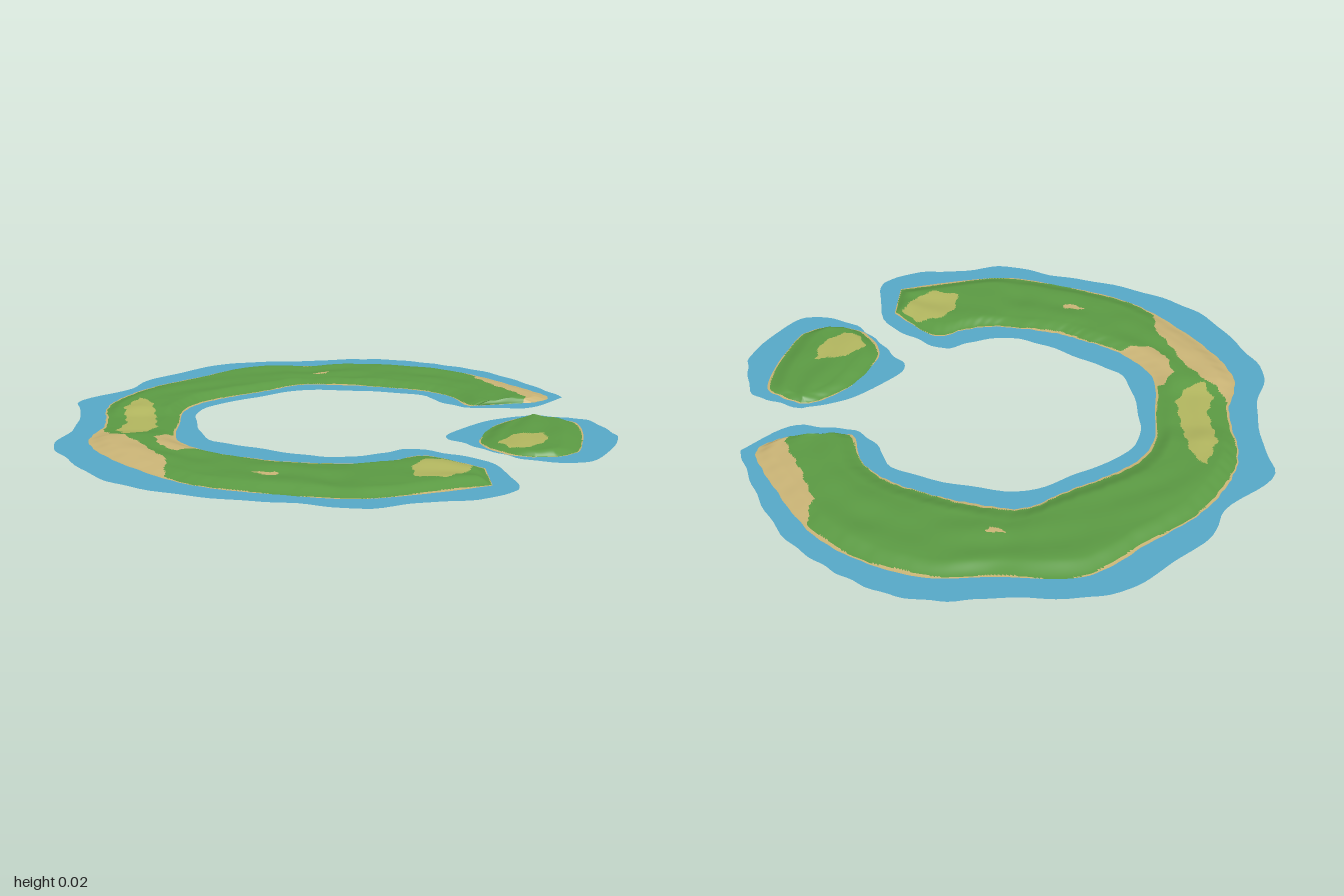
import * as THREE from 'three';

const material = (name, color) => new THREE.MeshStandardMaterial({ name, color, side: THREE.DoubleSide });
const grass = material('grass green', 0x5b9a43);
const sand = material('beach sand', 0xcab476);
const meadow = material('dry meadow', 0xb2b65f);
const shallows = material('shallow water', 0x56a8c7);

const vec = (p) => new THREE.Vector2(p[0], p[1]);
const smooth = THREE.MathUtils.smoothstep;

// Matching stations [x, z] on the two coasts of the ring island, running north, west, south
const ringOuter = [
  [0.79, -0.2], [0.86, -0.28], [0.77, -0.46], [0.61, -0.69], [0.43, -0.82], [0.22, -0.89], [0, -0.88],
  [-0.29, -0.87], [-0.5, -0.71], [-0.68, -0.56], [-0.79, -0.4], [-0.84, -0.24], [-0.83, 0], [-0.87, 0.2],
  [-0.79, 0.4], [-0.6, 0.64], [-0.44, 0.76], [-0.23, 0.84], [0, 0.9], [0.24, 0.86], [0.44, 0.8]];
const ringInner = [
  [0.56, -0.17], [0.52, -0.185], [0.48, -0.32], [0.375, -0.42], [0.22, -0.49], [0.08, -0.53], [-0.085, -0.55],
  [-0.23, -0.46], [-0.38, -0.37], [-0.49, -0.28], [-0.55, -0.16], [-0.56, 0], [-0.57, 0.13], [-0.55, 0.24],
  [-0.44, 0.37], [-0.29, 0.455], [-0.18, 0.5], [0.03, 0.535], [0.16, 0.51], [0.28, 0.465], [0.45, 0.62]];
const ringWater = [
  [0.915, -0.27], [0.87, -0.4], [0.79, -0.555], [0.69, -0.725], [0.56, -0.83], [0.455, -0.91], [0.31, -0.97],
  [0.15, -0.995], [-0.02, -0.97], [-0.26, -0.97], [-0.44, -0.915], [-0.58, -0.79], [-0.71, -0.67],
  [-0.77, -0.53], [-0.95, -0.36], [-0.93, -0.185], [-0.94, 0.05], [-0.985, 0.24], [-0.92, 0.42],
  [-0.79, 0.635], [-0.63, 0.77], [-0.39, 0.87], [-0.18, 0.93], [0.02, 0.99], [0.19, 0.95], [0.375, 0.93],
  [0.49, 0.87], [0.525, 0.79], [0.475, 0.555], [0.35, 0.44], [0.23, 0.38], [0.14, 0.42], [0, 0.46],
  [-0.15, 0.41], [-0.34, 0.3], [-0.455, 0.2], [-0.5, 0], [-0.485, -0.185], [-0.39, -0.29], [-0.26, -0.37],
  [-0.09, -0.46], [0.16, -0.43], [0.375, -0.34], [0.43, -0.24], [0.51, -0.15], [0.62, -0.135], [0.76, -0.125]];

// The small island, north to south
const isletWest = [[0.71, 0.01], [0.655, 0.04], [0.59, 0.1], [0.52, 0.21], [0.485, 0.355], [0.55, 0.47], [0.63, 0.51]];
const isletEast = [[0.75, 0.01], [0.825, 0.05], [0.88, 0.1], [0.87, 0.24], [0.825, 0.4], [0.79, 0.47], [0.72, 0.51]];
const isletWater = [
  [0.735, -0.02], [0.84, 0.015], [0.93, 0.07], [0.975, 0.21], [0.97, 0.33], [0.88, 0.5], [0.78, 0.585],
  [0.61, 0.535], [0.52, 0.45], [0.445, 0.345], [0.375, 0.25], [0.465, 0.13], [0.59, 0.03]];

// Ground cover patches
const sandPatches = [
  [[0.61, -0.72], [0.8, -0.46], [0.92, -0.26], [0.74, -0.15], [0.76, -0.24], [0.68, -0.4], [0.62, -0.54], [0.63, -0.6]],
  [[-0.83, 0.06], [-0.8, 0.14], [-0.74, 0.2], [-0.68, 0.3], [-0.63, 0.42], [-0.59, 0.5], [-0.595, 0.7], [-0.75, 0.66], [-0.95, 0.25]],
  [[-0.6, 0.16], [-0.5, 0.13], [-0.48, 0.25], [-0.42, 0.38], [-0.56, 0.39], [-0.62, 0.33], [-0.64, 0.22]],
  [[-0.03, -0.69], [0.04, -0.685], [0.02, -0.66], [-0.01, -0.67]],
  [[-0.31, 0.65], [-0.23, 0.65], [-0.23, 0.68], [-0.28, 0.68]]];
const meadowPatches = [
  [[-0.72, -0.33], [-0.67, -0.25], [-0.65, -0.1], [-0.64, 0.05], [-0.68, 0.13], [-0.75, 0.17], [-0.78, 0.08], [-0.75, 0], [-0.77, -0.18]],
  [[0.2, 0.74], [0.21, 0.62], [0.27, 0.56], [0.36, 0.55], [0.42, 0.63], [0.36, 0.72], [0.3, 0.76]],
  [[0.54, 0.37], [0.61, 0.29], [0.72, 0.27], [0.72, 0.36], [0.64, 0.45], [0.57, 0.44]]];

function inside(poly, x, z) {
  let hit = false;
  for (let i = 0, j = poly.length - 1; i < poly.length; j = i++) {
    const [ax, az] = poly[i], [bx, bz] = poly[j];
    if ((az > z) !== (bz > z) && x < ((bx - ax) * (z - az)) / (bz - az) + ax) hit = !hit;
  }
  return hit;
}

// Rolling plateau with low ridges; d is the distance from the coast
function height(x, z, d, along, v) {
  const plateau = 0.018 * smooth(d, 0, 0.075);
  const lowWest = x < 0 ? 1 - 0.7 * (1 - smooth(Math.abs(z), 0.08, 0.2)) : 1;
  const lowSouth = 1 - 0.35 * Math.exp(-(((x + 0.04) / 0.06) ** 2));
  const ridges = 0.003 * Math.sin(v * 15 + 2 * Math.sin(along * 3.1)) * Math.sin(along * 5.3 + v * 2)
    + 0.0012 * Math.sin(x * 31 + z * 9) * Math.sin(z * 27 - x * 8);
  return plateau * lowWest * lowSouth + ridges * smooth(d, 0.02, 0.09) * lowWest;
}

// Which material covers a spot: 0 grass, 1 sand, 2 meadow
function cover(x, z, d) {
  const fx = x + 0.004 * Math.sin(z * 90), fz = z + 0.004 * Math.sin(x * 80);
  if (sandPatches.some((p) => inside(p, fx, fz))) return 1;
  if (meadowPatches.some((p) => inside(p, fx, fz))) return 2;
  return d < 0.008 + 0.008 * Math.sin(x * 13 + 1) * Math.sin(z * 11 + x * 5) ? 1 : 0;
}

// Land as a grid between two coasts; also returns its outline for the water's hole
function makeLand(name, coastA, coastB, rows, cols, length) {
  const a = new THREE.SplineCurve(coastA.map(vec)), b = new THREE.SplineCurve(coastB.map(vec));
  const positions = [], shore = [], faces = [[], [], []], sideA = [], sideB = [];
  for (let i = 0; i <= rows; i++) {
    const t = i / rows, p = a.getPoint(t), q = b.getPoint(t);
    const wobble = 0.003 * Math.sin(t * length * 70) * Math.sin(t * length * 23);
    p.x += wobble; q.y += wobble;
    sideA.push(p); sideB.push(q);
    const width = p.distanceTo(q);
    for (let j = 0; j <= cols; j++) {
      const v = j / cols, x = p.x + (q.x - p.x) * v, z = p.y + (q.y - p.y) * v;
      const d = Math.min(Math.min(v, 1 - v) * width, Math.min(t, 1 - t) * length);
      positions.push(x, height(x, z, d, t * length, v), z);
      shore.push(d);
    }
  }
  const addFace = (...c) => {
    const mean = (get) => (get(c[0]) + get(c[1]) + get(c[2])) / 3;
    faces[cover(mean((k) => positions[k * 3]), mean((k) => positions[k * 3 + 2]), mean((k) => shore[k]))].push(...c);
  };
  for (let i = 0; i < rows; i++) {
    for (let j = 0; j < cols; j++) {
      const k = i * (cols + 1) + j, n = k + cols + 1;
      addFace(k, n, k + 1);
      addFace(n, n + 1, k + 1);
    }
  }
  const geometry = new THREE.BufferGeometry();
  geometry.setAttribute('position', new THREE.Float32BufferAttribute(positions, 3));
  geometry.setIndex(faces.flat());
  let start = 0;
  faces.forEach((f, m) => { geometry.addGroup(start, f.length, m); start += f.length; });
  geometry.computeVertexNormals();
  const mesh = new THREE.Mesh(geometry, [grass, sand, meadow]);
  mesh.name = name;
  return { mesh, outline: [...sideA, ...sideB.reverse()] };
}

// Flat band of water around a piece of land
function makeWater(name, points, landOutline, samples) {
  const curve = new THREE.SplineCurve([...points, points[0]].map(vec));
  const edge = curve.getPoints(samples).slice(0, -1).map((p, i) => {
    const w = 0.005 * Math.sin(i * 0.9) * Math.sin(i * 0.37);
    return new THREE.Vector2(p.x + w, -p.y + w);
  });
  const shape = new THREE.Shape(edge);
  shape.holes.push(new THREE.Path(landOutline.map((p) => new THREE.Vector2(p.x, -p.y))));
  const mesh = new THREE.Mesh(new THREE.ShapeGeometry(shape).rotateX(-Math.PI / 2), shallows);
  mesh.name = name;
  return mesh;
}

export function createModel() {
  const model = new THREE.Group();
  model.name = 'atoll';
  const ring = makeLand('ringIsland', ringOuter, ringInner, 440, 60, 4.4);
  const islet = makeLand('smallIsland', isletWest, isletEast, 90, 60, 0.55);
  model.add(
    ring.mesh, makeWater('ringShallows', ringWater, ring.outline, 280),
    islet.mesh, makeWater('smallIslandShallows', isletWater, islet.outline, 80));
  return model;
}
